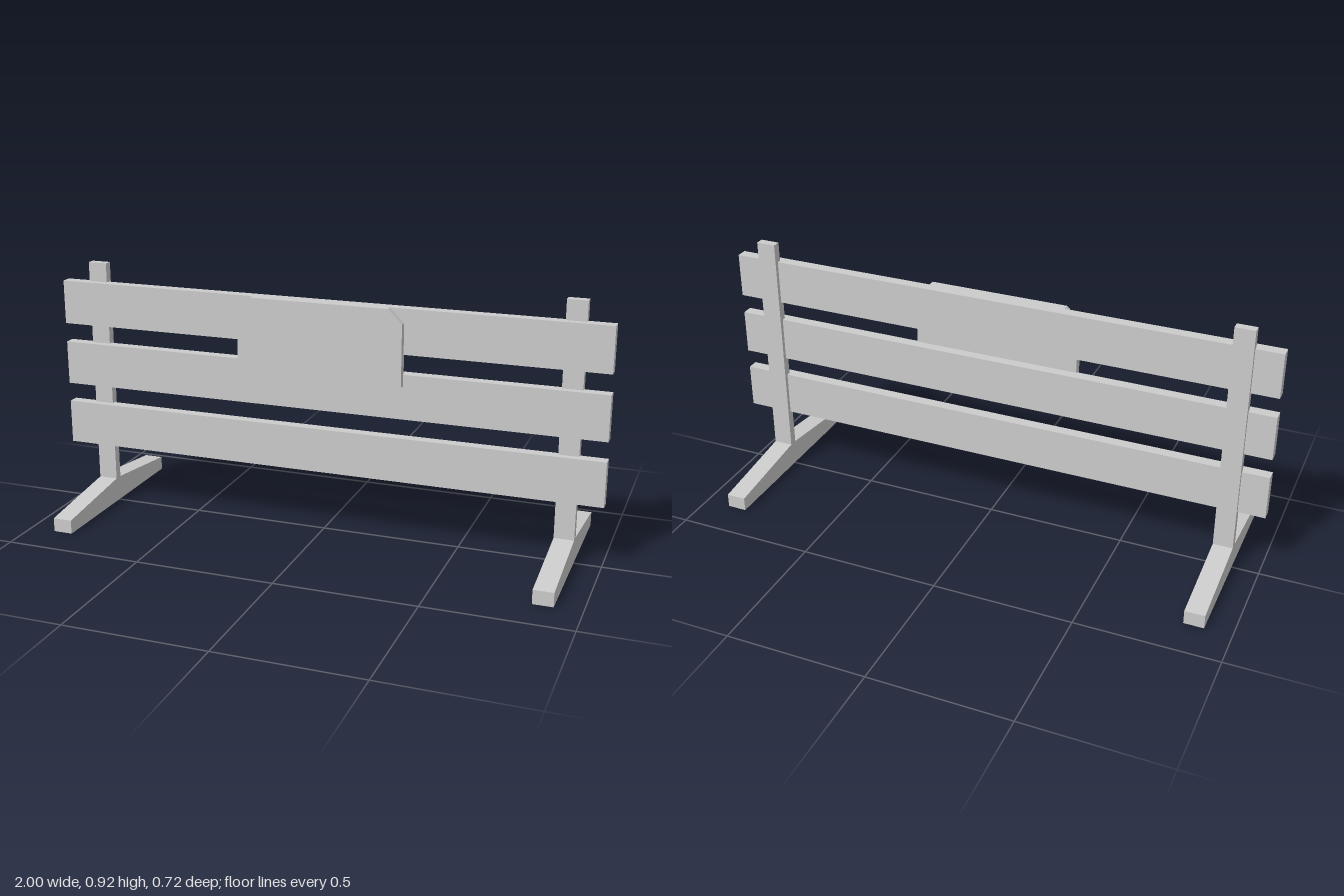
import * as THREE from 'three';

const material = new THREE.MeshStandardMaterial({ color: 0xcccccc, flatShading: true });

function addMesh(group, name, geometry, x, y, z) {
  const mesh = new THREE.Mesh(geometry, material);
  mesh.name = name;
  mesh.position.set(x, y, z);
  group.add(mesh);
  return mesh;
}

// Flat outline extruded to a thickness centred on its own plane
function plate(points, depth) {
  const shape = new THREE.Shape(points.map(([x, y]) => new THREE.Vector2(x, y)));
  return new THREE.ExtrudeGeometry(shape, { depth, bevelEnabled: false }).translate(0, 0, -depth / 2);
}

export function createModel() {
  const model = new THREE.Group();
  model.name = 'railBarrier';

  // Posts standing on tapered feet
  const footGeometry = plate([
    [-0.36, 0], [0.36, 0], [0.36, 0.05], [0.01, 0.09], [-0.01, 0.09], [-0.36, 0.05],
  ], 0.07).rotateY(-Math.PI / 2);
  const postGeometry = new THREE.BoxGeometry(0.07, 0.86, 0.03);
  for (const [side, x] of [['left', 0.87], ['right', -0.87]]) {
    addMesh(model, `${side}Foot`, footGeometry, x, 0, 0);
    addMesh(model, `${side}Post`, postGeometry, x, 0.49, 0);
  }

  // Three horizontal boards across the front of the posts
  const boardGeometry = new THREE.BoxGeometry(2, 0.16, 0.04);
  ['lower', 'middle', 'upper'].forEach((level, i) => {
    addMesh(model, `${level}Board`, boardGeometry, 0, 0.31 + i * 0.23, 0.02);
  });

  // Sign plate with clipped corners
  const signGeometry = plate([
    [-0.25, -0.16], [0.25, -0.16], [0.3, -0.11], [0.3, 0.11],
    [0.25, 0.16], [-0.25, 0.16], [-0.3, 0.11], [-0.3, -0.11],
  ], 0.03);
  addMesh(model, 'signPlate', signGeometry, 0, 0.69, 0.05);

  return model;
}
